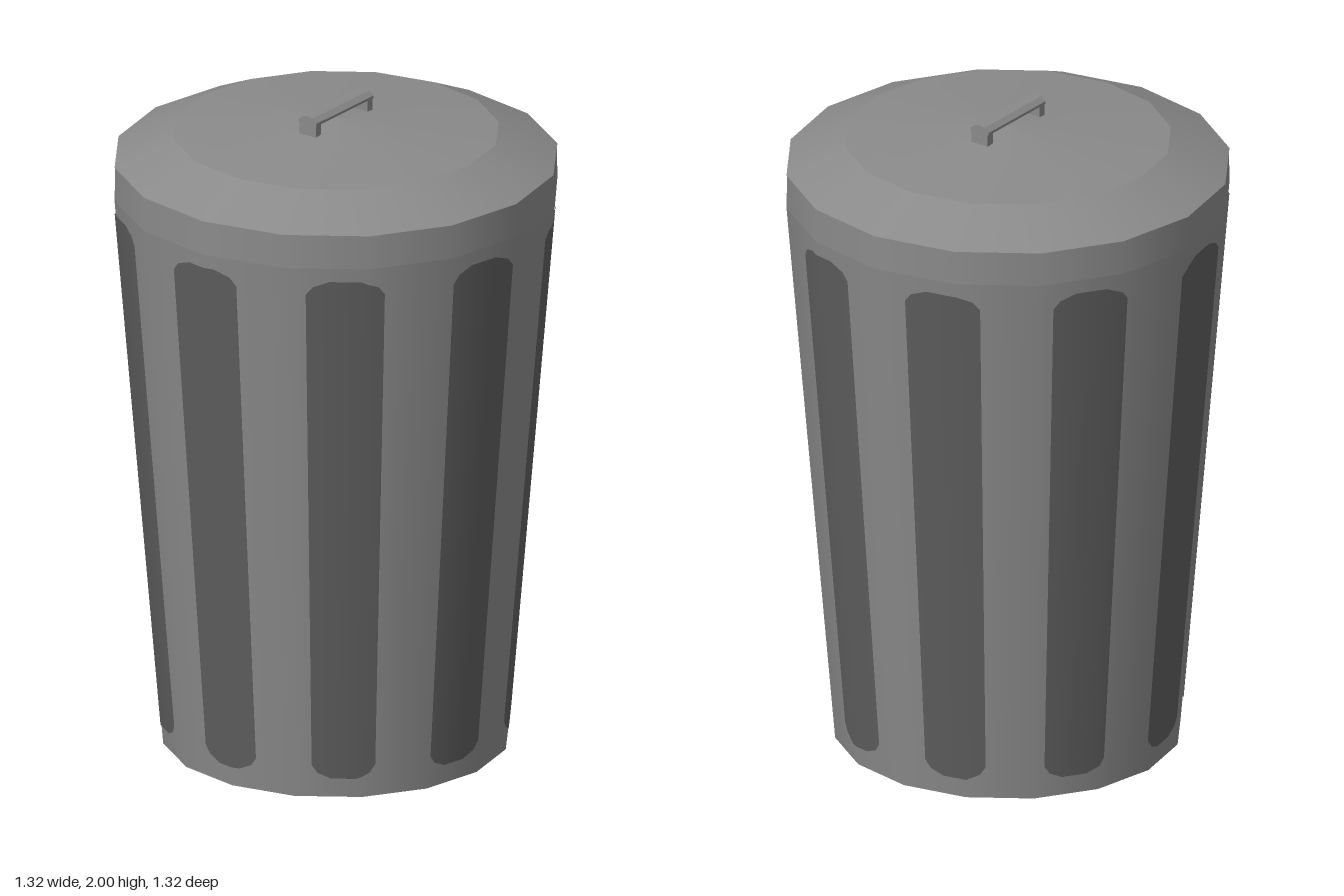
import * as THREE from 'three';

const SIDES = 16;
const STEP = (Math.PI * 2) / SIDES;
const BASE_R = 0.515, RIM_R = 0.66, RIM_Y = 1.725;

export function createModel() {
  const model = new THREE.Group();
  model.name = 'trashCan';

  const metal = new THREE.MeshStandardMaterial({ color: 0x8a8a8a, side: THREE.DoubleSide });
  metal.name = 'grey metal';
  const dark = new THREE.MeshStandardMaterial({ color: 0x5e5e5e, side: THREE.DoubleSide });
  dark.name = 'dark grey';

  const add = (name, geometry, material, parent = model) => {
    const mesh = new THREE.Mesh(geometry, material);
    mesh.name = name;
    parent.add(mesh);
    return mesh;
  };

  // One ring of wall per profile segment keeps the edges between rings sharp
  const ring = (name, r0, y0, r1, y1) =>
    add(name, new THREE.LatheGeometry(
      [new THREE.Vector2(r0, y0), new THREE.Vector2(r1, y1)], SIDES), metal);

  ring('body', BASE_R, 0, RIM_R, RIM_Y);
  ring('rimBand', RIM_R, RIM_Y, 0.658, 1.83);
  ring('lidSlope', 0.66, 1.83, 0.485, 1.91);
  ring('lidTop', 0.485, 1.91, 0, 1.95);

  // Point on the sixteen-sided tapered wall, pushed out by a small offset
  const wallPoint = (angle, y, offset) => {
    const local = ((angle % STEP) + STEP) % STEP - STEP / 2;
    const r = (BASE_R + (RIM_R - BASE_R) * (y / RIM_Y) + offset)
      * Math.cos(STEP / 2) / Math.cos(local);
    return [r * Math.sin(angle), y, r * Math.cos(angle)];
  };

  // Long stripe with rounded ends, bent at the corners of the wall
  const HALF = THREE.MathUtils.degToRad(10.4);
  const endInset = (u) => {
    const a = Math.abs(u);
    if (a < 0.4) return 0;
    return a < 0.82 ? (a - 0.4) / 0.42 * 0.018 : 0.018 + (a - 0.82) / 0.18 * 0.025;
  };
  const stripeGeometry = (center, offset) => {
    const us = [-1, -0.82, -0.4, 0.4, 0.82, 1];
    for (let k = -SIDES; k <= SIDES; k++) {
      const u = (k * STEP - center) / HALF;
      if (Math.abs(u) < 0.999) us.push(u);
    }
    us.sort((a, b) => a - b);
    const positions = [], normals = [], index = [];
    us.forEach((u, i) => {
      const angle = center + u * HALF, inset = endInset(u);
      positions.push(...wallPoint(angle, 0.06 + inset, offset),
        ...wallPoint(angle, 1.683 - inset, offset));
      const n = new THREE.Vector3(Math.sin(angle), -0.084, Math.cos(angle)).normalize();
      normals.push(...n.toArray(), ...n.toArray());
      if (i > 0) {
        const a = i * 2 - 2;
        index.push(a, a + 2, a + 3, a, a + 3, a + 1);
      }
    });
    const g = new THREE.BufferGeometry();
    g.setAttribute('position', new THREE.Float32BufferAttribute(positions, 3));
    g.setAttribute('normal', new THREE.Float32BufferAttribute(normals, 3));
    g.setIndex(index);
    return g;
  };

  // Nine stripes, showing on the outside and the inside of the wall
  const stripes = new THREE.Group();
  stripes.name = 'stripes';
  model.add(stripes);
  for (let i = 0; i < 9; i++) {
    const center = THREE.MathUtils.degToRad(-171.2 + i * 40);
    add('outerStripe', stripeGeometry(center, 0.003), dark, stripes);
    add('innerStripe', stripeGeometry(center, -0.003), dark, stripes);
  }

  // Handle: a bar with a rounded top on two short posts
  const handle = new THREE.Group();
  handle.name = 'handle';
  model.add(handle);
  const profile = new THREE.Shape([
    [-0.033, 1.975], [0.033, 1.975], [0.033, 1.983], [0.018, 1.996],
    [0, 2], [-0.018, 1.996], [-0.033, 1.983],
  ].map(([x, y]) => new THREE.Vector2(x, y)));
  const bar = new THREE.ExtrudeGeometry(profile, { depth: 0.284, bevelEnabled: false });
  bar.translate(0, 0, -0.142).rotateY(Math.PI / 2);
  add('handleBar', bar, metal, handle);
  for (const side of [-1, 1]) {
    const post = add('handlePost', new THREE.BoxGeometry(0.025, 0.045, 0.06), metal, handle);
    post.position.set(side * 0.1285, 1.9535, 0);
  }

  return model;
}
